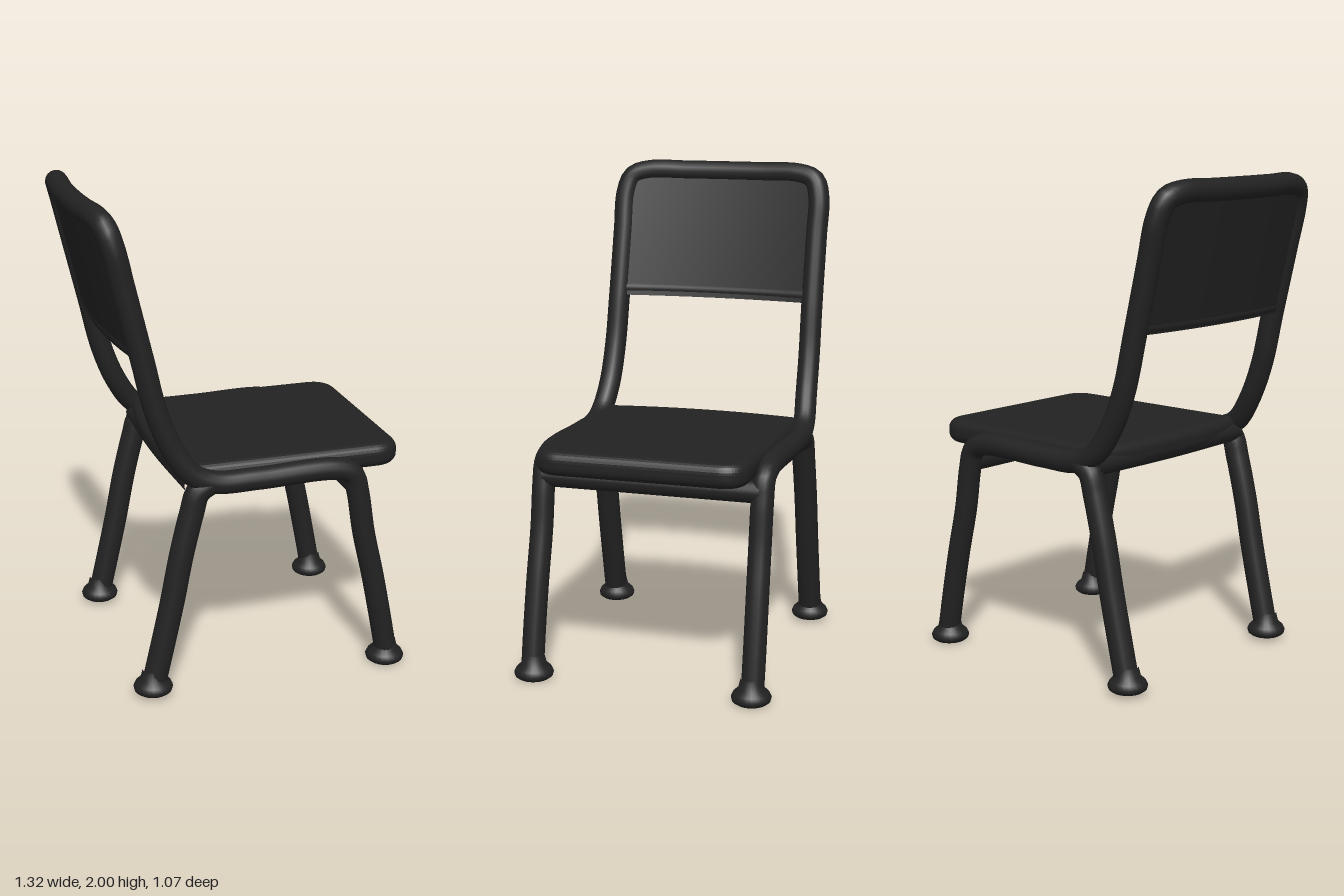
import * as THREE from 'three';

const V = (x, y, z) => new THREE.Vector3(x, y, z);

export function createModel() {
  const chair = new THREE.Group();
  chair.name = 'chair';
  const black = new THREE.MeshStandardMaterial({ color: 0x222222 });
  black.name = 'matte black';

  const add = (name, geometry, x = 0, y = 0, z = 0) => {
    const mesh = new THREE.Mesh(geometry, black);
    mesh.name = name;
    mesh.position.set(x, y, z);
    chair.add(mesh);
    return mesh;
  };
  const tube = (name, points, radius, segments) =>
    add(name, new THREE.TubeGeometry(new THREE.CatmullRomCurve3(points, false, 'centripetal'), segments, radius, 16));

  // Backward lean and bow shared by the back frame and its panel
  const backX = (y, z) => -0.41 - 0.237 * (y - 1.2) - 0.035 * Math.max(0, 1 - (z / 0.44) ** 2);

  // Continuous frame: front leg, side rail, back post, top rail and mirrored side
  const side = [
    V(0.57, 0.04, 0.46), V(0.54, 0.2, 0.46), V(0.50, 0.4, 0.458), V(0.455, 0.6, 0.455),
    V(0.425, 0.78, 0.455), V(0.4, 0.86, 0.455), V(0.33, 0.89, 0.456), V(0, 0.89, 0.458),
    V(-0.18, 0.895, 0.458), V(-0.27, 0.935, 0.455), V(-0.345, 1.04, 0.445), V(-0.41, 1.2, 0.44),
    V(backX(1.42, 0.44), 1.42, 0.437), V(backX(1.7, 0.44), 1.7, 0.436),
    V(backX(1.86, 0.44), 1.86, 0.435), V(backX(1.93, 0.41), 1.93, 0.41),
    V(backX(1.954, 0.34), 1.954, 0.34), V(backX(1.955, 0.17), 1.955, 0.17),
  ];
  const mirrored = side.map(p => V(p.x, p.y, -p.z)).reverse();
  tube('bentFrame', [...side, V(backX(1.955, 0), 1.955, 0), ...mirrored], 0.046, 260);

  for (const s of [1, -1]) {
    // Rear legs
    tube('rearLeg', [
      V(-0.2, 0.895, 0.455 * s), V(-0.25, 0.86, 0.455 * s), V(-0.275, 0.78, 0.455 * s),
      V(-0.32, 0.6, 0.456 * s), V(-0.36, 0.4, 0.456 * s), V(-0.405, 0.2, 0.456 * s), V(-0.44, 0.05, 0.456 * s),
    ], 0.049, 40);

    // Flared feet
    const profile = [[0, 0], [0.062, 0], [0.076, 0.01], [0.08, 0.025], [0.072, 0.042], [0.052, 0.06], [0.042, 0.1]]
      .map(([r, y]) => new THREE.Vector2(r, y));
    add('frontFoot', new THREE.LatheGeometry(profile, 24), 0.567, 0, 0.455 * s);
    add('rearFoot', new THREE.LatheGeometry(profile, 24), -0.443, 0.015, 0.455 * s);
  }

  // Cross rails under the seat
  tube('frontCrossRail', [V(0.42, 0.81, -0.45), V(0.42, 0.81, 0.45)], 0.046, 4);
  tube('rearCrossRail', [V(-0.26, 0.89, -0.45), V(-0.275, 0.89, 0), V(-0.26, 0.89, 0.45)], 0.044, 12);

  // Seat cushion: rounded outline with a soft bevelled edge
  const bevel = 0.04, x0 = -0.25, x1 = 0.59, w = 0.395, r = 0.07;
  const outline = new THREE.Shape();
  outline.moveTo(x0, -w);
  outline.lineTo(x1 - r, -w);
  outline.quadraticCurveTo(x1, -w, x1, -w + r);
  outline.lineTo(x1, w - r);
  outline.quadraticCurveTo(x1, w, x1 - r, w);
  outline.lineTo(x0, w);
  outline.quadraticCurveTo(x0 - 0.07, 0, x0, -w);
  const seat = new THREE.ExtrudeGeometry(outline, {
    depth: 0.02, bevelEnabled: true, bevelThickness: bevel, bevelSize: bevel, bevelSegments: 6, curveSegments: 14,
  });
  seat.rotateX(-Math.PI / 2);
  add('seat', seat, 0, 0.899, 0);

  // Curved back panel, narrowed at the top to follow the frame corners
  const panel = new THREE.BoxGeometry(0.056, 0.53, 0.87, 1, 24, 24);
  const pos = panel.attributes.position;
  for (let i = 0; i < pos.count; i++) {
    const y = pos.getY(i) + 1.685;
    const t = Math.max(0, (y - 1.85) / 0.1);
    const z = pos.getZ(i) * (1 - 0.2 * t * t);
    pos.setXYZ(i, pos.getX(i) + backX(y, z), y, z);
  }
  panel.computeVertexNormals();
  add('backPanel', panel);

  // Rounded lower edge of the panel
  const lower = [-0.435, -0.29, -0.145, 0, 0.145, 0.29, 0.435].map(z => V(backX(1.447, z), 1.447, z));
  tube('backPanelLowerEdge', lower, 0.031, 24);

  return chair;
}
